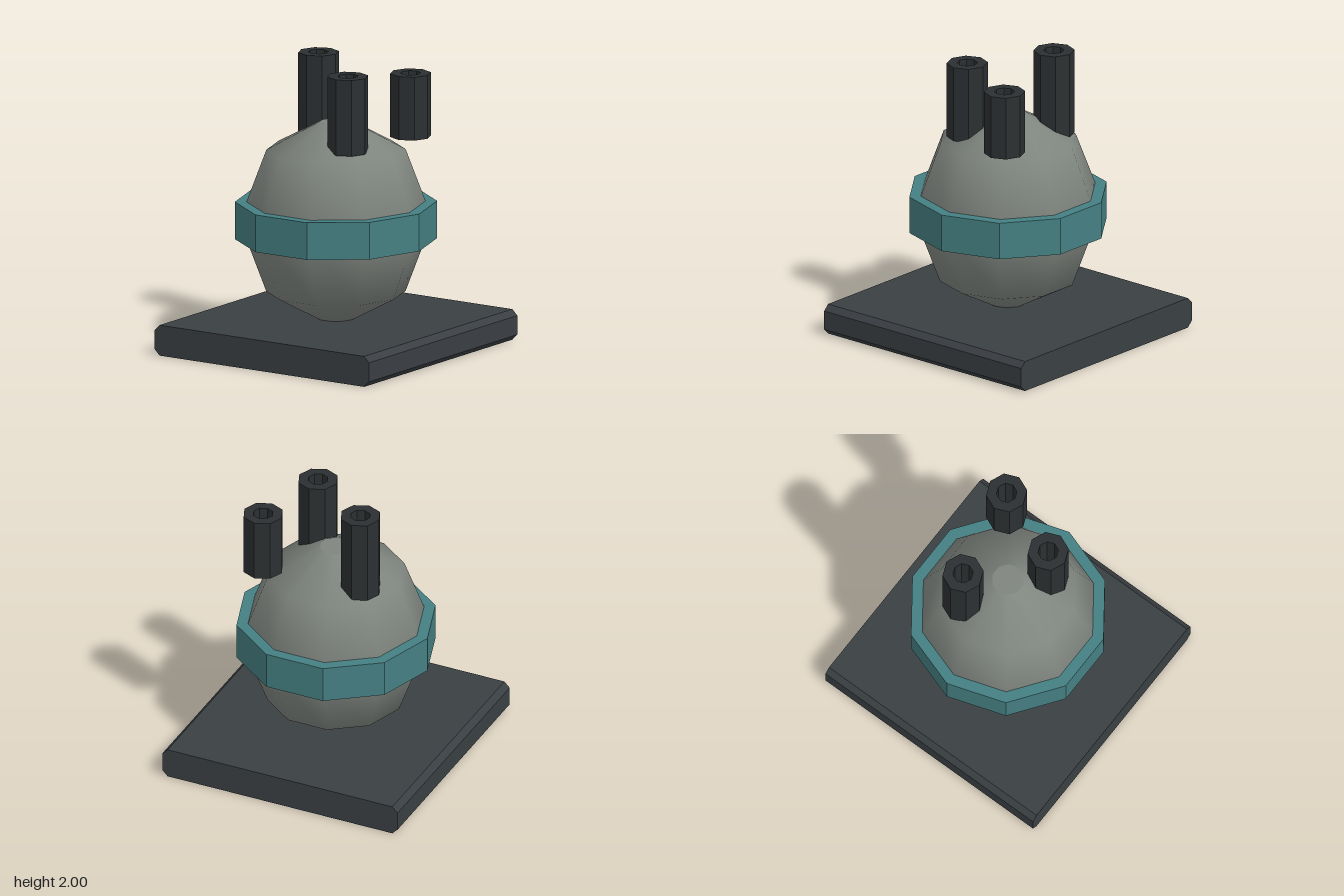
import * as THREE from 'three';

const material = (color, flatShading = true) => new THREE.MeshStandardMaterial({ color, flatShading });

const lathe = (points, sides) =>
  new THREE.LatheGeometry(points.map(([r, y]) => new THREE.Vector2(r, y)), sides).rotateY(Math.PI / 2);

// Faceted hollow ring with a rectangular section
const ringGeometry = (inner, outer, y0, y1, sides) =>
  lathe([[inner, y0], [outer, y0], [outer, y1], [inner, y1], [inner, y0]], sides);

export function createModel() {
  const model = new THREE.Group();
  model.name = 'vesselOnBase';

  const add = (name, geometry, mat, parent = model) => {
    const mesh = new THREE.Mesh(geometry, mat);
    mesh.name = name;
    parent.add(mesh);
    return mesh;
  };

  // Square base slab, chamfered along its left and right edges
  const w = 0.888, h = 0.213, c = 0.04;
  const section = new THREE.Shape([
    [-w + c, 0], [w - c, 0], [w, c], [w, h - c],
    [w - c, h], [-w + c, h], [-w, h - c], [-w, c],
  ].map(([x, y]) => new THREE.Vector2(x, y)));
  const slab = new THREE.ExtrudeGeometry(section, { depth: 2 * w, bevelEnabled: false });
  add('base', slab.translate(0, 0, -w), material(0x3a3f43));

  // Ten-sided smooth body with flat caps
  const body = new THREE.Group();
  body.name = 'body';
  model.add(body);
  const bodyMaterial = material(0x7f857f, false);
  const midY = 0.89, capY = 0.69, capR = 0.112;
  add('shell', lathe([
    [capR, midY - capY], [0.475, midY - 0.495], [0.66, midY],
    [0.475, midY + 0.495], [capR, midY + capY],
  ], 10), bodyMaterial, body);
  for (const side of [1, -1]) {
    const cap = new THREE.CircleGeometry(capR, 10).rotateX(-side * Math.PI / 2);
    add(side > 0 ? 'topCap' : 'bottomCap', cap.translate(0, midY + side * capY, 0), bodyMaterial, body);
  }

  // Band around the middle
  add('band', ringGeometry(0.6, 0.69, 0.762, 1.022, 10), material(0x457f82));

  // Three open octagonal pipes: x, z, bottom, top
  const pipeMaterial = material(0x2c3032);
  [
    [-0.27, -0.18, 1.4, 2],
    [0.4, -0.315, 1.47, 1.913],
    [0.22, 0.177, 1.428, 1.958],
  ].forEach(([x, z, y0, y1], i) => {
    add(`pipe${i + 1}`, ringGeometry(0.07, 0.141, y0, y1, 8), pipeMaterial).position.set(x, 0, z);
  });

  return model;
}
